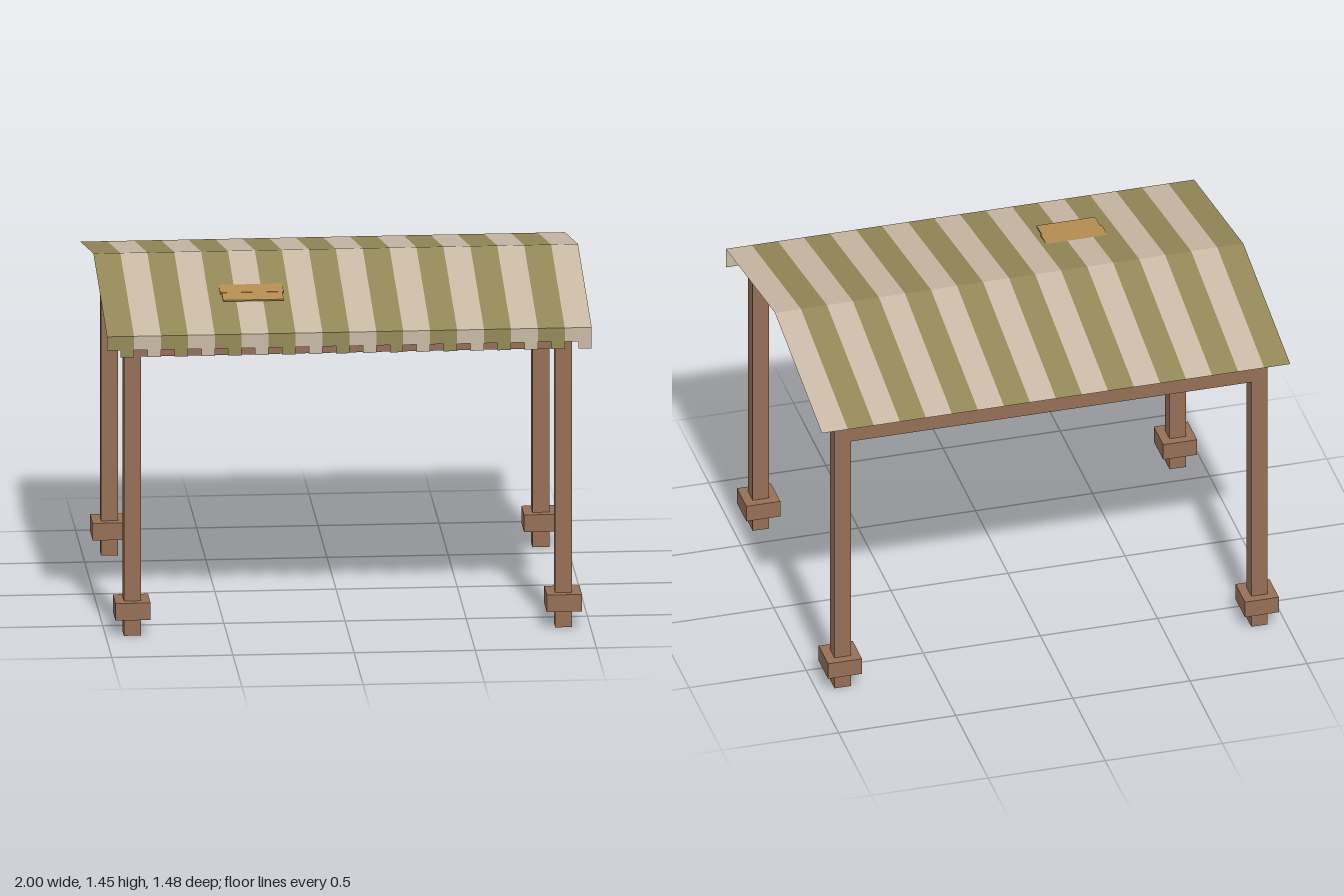
import * as THREE from 'three';
import { mergeGeometries } from 'three/addons/utils/BufferGeometryUtils.js';

const cloth = (name, color) => {
  const m = new THREE.MeshStandardMaterial({ color, side: THREE.DoubleSide });
  m.name = name;
  return m;
};
const wood = new THREE.MeshStandardMaterial({ color: 0x946f56 });
wood.name = 'brown wood';
const tan = new THREE.MeshStandardMaterial({ color: 0xb58d52 });
tan.name = 'tan board';
const olive = cloth('olive cloth', 0x938857);
const beige = cloth('beige cloth', 0xc9b9a5);

// Flat four-cornered sheet between two edges that run along x
function sheet(x0, x1, [yA, zA], [yB, zB]) {
  const g = new THREE.BufferGeometry();
  g.setAttribute('position', new THREE.Float32BufferAttribute(
    [x0, yA, zA, x1, yA, zA, x1, yB, zB, x0, yB, zB], 3));
  g.setIndex([0, 1, 2, 0, 2, 3]);
  g.computeVertexNormals();
  return g;
}

export function createModel() {
  const model = new THREE.Group();
  model.name = 'marketCanopy';
  const add = (name, geometry, material, parent = model) => {
    const mesh = new THREE.Mesh(geometry, material);
    mesh.name = name;
    parent.add(mesh);
    return mesh;
  };
  const box = (name, w, h, d, x, y, z, material = wood, parent = model) => {
    const mesh = add(name, new THREE.BoxGeometry(w, h, d), material, parent);
    mesh.position.set(x, y, z);
    return mesh;
  };

  // Posts with block feet
  const px = 0.89, pz = 0.63, top = 1.26;
  for (const sx of [-1, 1]) {
    for (const sz of [-1, 1]) {
      const name = (sz > 0 ? 'front' : 'back') + (sx > 0 ? 'Left' : 'Right');
      box(name + 'Post', 0.07, top, 0.07, sx * px, top / 2, sz * pz);
      box(name + 'Foot', 0.145, 0.073, 0.145, sx * px, 0.112, sz * pz);
    }
    // Thin side rail
    box(sx > 0 ? 'leftRail' : 'rightRail', 0.035, 0.024, 2 * pz - 0.07, sx * px, 1.247, 0);
  }
  // Long beams at front and back
  for (const sz of [-1, 1]) {
    box(sz > 0 ? 'frontBeam' : 'backBeam', 2 * px - 0.07, 0.07, 0.07, 0, 1.225, sz * pz);
  }

  // Striped roof cloth and the notched valance on its front edge
  const front = [1.297, 0.74], ridge = [1.447, -0.018], back = [1.301, -0.742];
  const count = 18, w = 2 / count;
  const parts = [[], []];
  const flaps = [[], []];
  for (let i = 0; i < count; i++) {
    const x0 = -1 + i * w, x1 = x0 + w, mid = x0 + w / 2, c = i % 2;
    parts[c].push(sheet(x0, x1, front, ridge), sheet(x0, x1, ridge, back));
    flaps[c].push(
      sheet(x0, mid, [1.238, 0.74], front),
      sheet(mid, x1, [1.207, 0.74], front));
  }
  [olive, beige].forEach((material, c) => {
    const label = c ? 'beige' : 'olive';
    add(label + 'RoofStripes', mergeGeometries(parts[c]), material);
    add(label + 'Valance', mergeGeometries(flaps[c]), material);
  });

  // Loose board lying on the front slope, its upper end tucked under the cloth
  const board = new THREE.Group();
  board.name = 'roofBoard';
  board.position.set(-0.375, 1.374, 0.372);
  board.rotation.x = 0.1;
  box('boardLower', 0.25, 0.006, 0.1, 0, 0, 0.042, tan, board);
  box('boardUpper', 0.262, 0.008, 0.1, 0, 0, -0.044, tan, board);
  model.add(board);

  return model;
}
